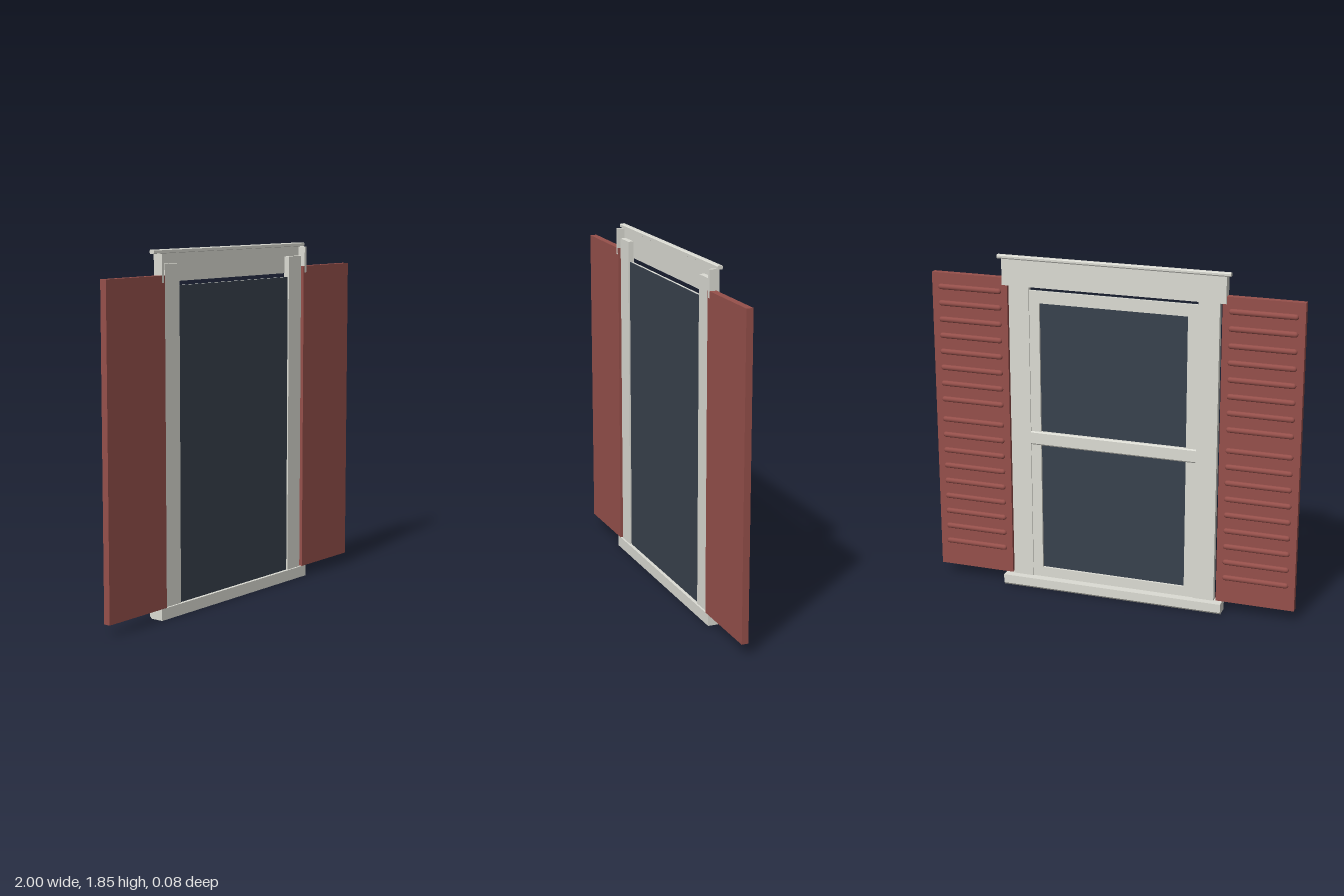
import * as THREE from 'three';

const white = new THREE.MeshStandardMaterial({ color: 0xdcdcd4 });
white.name = 'offWhitePaint';
const red = new THREE.MeshStandardMaterial({ color: 0x96504b });
red.name = 'brickRedPaint';
const glass = new THREE.MeshStandardMaterial({ color: 0x38414d });
glass.name = 'darkGlass';

// Box given by its extents on each axis
function box(parent, name, material, [x0, x1], [y0, y1], [z0, z1]) {
  const mesh = new THREE.Mesh(new THREE.BoxGeometry(x1 - x0, y1 - y0, z1 - z0), material);
  mesh.position.set((x0 + x1) / 2, (y0 + y1) / 2, (z0 + z1) / 2);
  mesh.name = name;
  parent.add(mesh);
  return mesh;
}

// Bar along x with a constant [z, y] cross-section
function bar(parent, name, material, halfLength, points) {
  const shape = new THREE.Shape(points.map(([z, y]) => new THREE.Vector2(-z, y)));
  const geometry = new THREE.ExtrudeGeometry(shape, { depth: halfLength * 2, bevelEnabled: false });
  geometry.translate(0, 0, -halfLength).rotateY(Math.PI / 2);
  const mesh = new THREE.Mesh(geometry, material);
  mesh.name = name;
  parent.add(mesh);
}

// Span on one side of the centre, ordered low to high
const span = (side, a, b) => (side > 0 ? [a, b] : [-b, -a]);

function createShutter(side) {
  const shutter = new THREE.Group();
  shutter.name = side > 0 ? 'leftShutter' : 'rightShutter';
  box(shutter, 'shutterPanel', red, span(side, 0.577, 1), [0.06, 1.725], [0.004, 0.04]);

  // Raised rounded slats: nine below, eight above
  const slat = new THREE.CapsuleGeometry(0.015, 0.325, 4, 10).rotateZ(Math.PI / 2).scale(1, 1, 0.85);
  const heights = [];
  for (let i = 0; i < 9; i++) heights.push(0.201 + i * 0.089);
  for (let i = 0; i < 8; i++) heights.push(1.027 + i * 0.089);
  for (const y of heights) {
    const mesh = new THREE.Mesh(slat, red);
    mesh.name = 'slat';
    mesh.position.set(side * 0.788, y, 0.004);
    shutter.add(mesh);
  }
  return shutter;
}

function createSash() {
  const sash = new THREE.Group();
  sash.name = 'sash';
  box(sash, 'pane', glass, [-0.456, 0.456], [0.06, 1.67], [0.016, 0.022]);
  for (const side of [1, -1]) {
    box(sash, 'stile', white, span(side, 0.4, 0.456), [0.06, 1.67], [0.003, 0.016]);
  }
  box(sash, 'bottomRail', white, [-0.4, 0.4], [0.06, 0.115], [0.003, 0.016]);
  box(sash, 'topRail', white, [-0.4, 0.4], [1.605, 1.67], [0.003, 0.016]);
  // Meeting rail stands slightly proud of the stiles
  bar(sash, 'meetingRail', white, 0.455, [
    [0.016, 0.825], [0.016, 0.9], [0.002, 0.9], [-0.003, 0.893], [-0.003, 0.832], [0.002, 0.825],
  ]);
  return sash;
}

function createFrame() {
  const frame = new THREE.Group();
  frame.name = 'frame';
  // Sill with its lower outer edge chamfered
  bar(frame, 'sill', white, 0.613, [
    [0.04, 0], [0.04, 0.06], [-0.041, 0.06], [-0.041, 0.012], [-0.03, 0],
  ]);
  for (const side of [1, -1]) {
    box(frame, 'casing', white, span(side, 0.455, 0.566), [0.06, 1.78], [-0.003, 0.03]);
    box(frame, 'headReturn', white, span(side, 0.584, 0.6), [1.69, 1.83], [0, 0.041]);
  }
  box(frame, 'headBoard', white, [-0.6, 0.6], [1.69, 1.83], [-0.011, 0]);
  // Thin moulding capping the head board
  bar(frame, 'headMoulding', white, 0.622, [
    [0.01, 1.832], [0.01, 1.846], [0.006, 1.85], [-0.014, 1.85],
    [-0.018, 1.846], [-0.018, 1.836], [-0.014, 1.83], [0.006, 1.83],
  ]);
  return frame;
}

export function createModel() {
  const model = new THREE.Group();
  model.name = 'shutteredWindow';
  model.add(createFrame(), createSash(), createShutter(1), createShutter(-1));
  return model;
}
